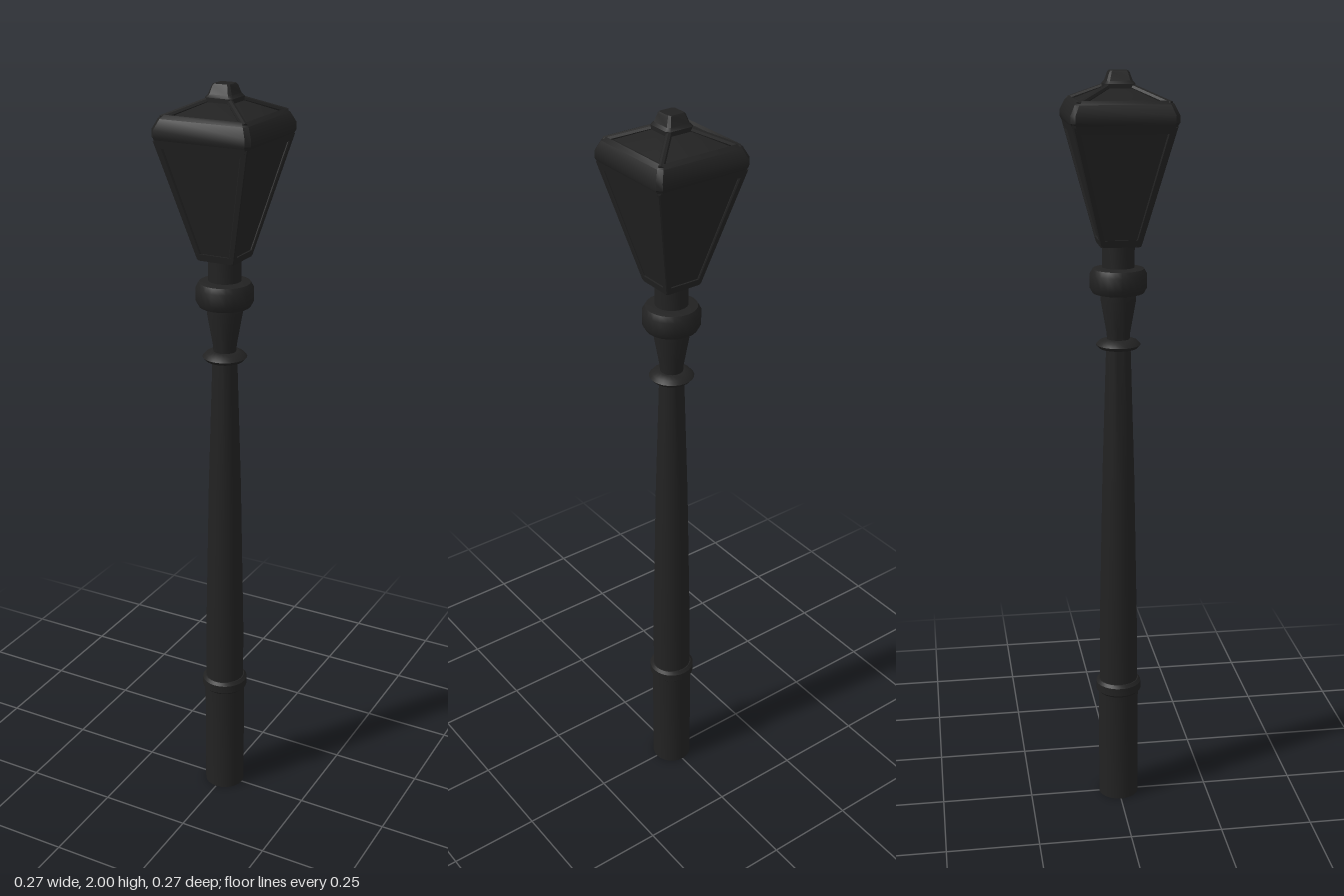
import * as THREE from 'three';
import { toCreasedNormals } from 'three/addons/utils/BufferGeometryUtils.js';

const iron = new THREE.MeshStandardMaterial({ color: 0x222222 });

function add(parent, name, geometry) {
  const mesh = new THREE.Mesh(toCreasedNormals(geometry, 0.6), iron);
  mesh.name = name;
  parent.add(mesh);
  return mesh;
}

// Closed turned part from [radius, y] pairs, bottom to top
function turned(profile) {
  const pts = [[0, profile[0][1]], ...profile, [0, profile.at(-1)[1]]];
  return new THREE.LatheGeometry(pts.map(([r, y]) => new THREE.Vector2(r, y)), 24);
}

// Closed square loft with cut corners; rings are [half width, corner cut, y, centre x, centre z]
function squareLoft(rings) {
  const pos = [], index = [], n = 8;
  for (const [h, c, y, cx = 0, cz = 0] of rings) {
    const k = h - c;
    for (const [x, z] of [[h, -k], [h, k], [k, h], [-k, h], [-h, k], [-h, -k], [-k, -h], [k, -h]]) {
      pos.push(cx + x, y, cz + z);
    }
  }
  for (let r = 0; r < rings.length - 1; r++) {
    for (let i = 0; i < n; i++) {
      const a = r * n + i, b = r * n + (i + 1) % n;
      index.push(a, a + n, b + n, a, b + n, b);
    }
  }
  const top = (rings.length - 1) * n;
  for (let i = 1; i < n - 1; i++) {
    index.push(0, i, i + 1, top, top + i + 1, top + i);
  }
  const g = new THREE.BufferGeometry();
  g.setAttribute('position', new THREE.Float32BufferAttribute(pos, 3));
  g.setIndex(index);
  return g;
}

// Round bar between two points
function bar(parent, name, from, to, radius) {
  const a = new THREE.Vector3(...from), d = new THREE.Vector3(...to).sub(a);
  const mesh = add(parent, name, new THREE.CylinderGeometry(radius, radius, d.length(), 8));
  mesh.position.copy(a).addScaledVector(d, 0.5);
  mesh.quaternion.setFromUnitVectors(new THREE.Vector3(0, 1, 0), d.normalize());
}

export function createModel() {
  const model = new THREE.Group();
  model.name = 'streetLamp';

  // Post, from the ground up
  const post = new THREE.Group();
  post.name = 'post';
  model.add(post);
  add(post, 'base', turned([[0.055, 0], [0.055, 0.33]]));
  add(post, 'baseBand', turned([[0.055, 0.32], [0.062, 0.327], [0.062, 0.349], [0.055, 0.357]]));
  add(post, 'shaft', turned([[0.052, 0.34], [0.052, 0.5], [0.043, 0.95], [0.032, 1.31]]));
  add(post, 'upperRing', turned([[0.034, 1.3], [0.05, 1.304], [0.058, 1.313], [0.05, 1.322], [0.034, 1.328]]));
  add(post, 'capital', turned([[0.029, 1.32], [0.031, 1.345], [0.046, 1.43], [0.046, 1.46]]));
  add(post, 'collar', turned([[0.05, 1.445], [0.066, 1.449], [0.074, 1.463], [0.074, 1.497], [0.066, 1.511], [0.05, 1.515]]));
  add(post, 'neck', turned([[0.042, 1.51], [0.042, 1.58]]));

  // Lantern body: recessed panes in a tapered frame
  const lantern = new THREE.Group();
  lantern.name = 'lantern';
  model.add(lantern);
  add(lantern, 'panes', squareLoft([[0.048, 0.004, 1.578], [0.123, 0.004, 1.875]]));
  add(lantern, 'bottomRail', squareLoft([[0.051, 0.005, 1.572], [0.056, 0.005, 1.59]]));
  add(lantern, 'topRail', squareLoft([[0.124, 0.008, 1.856], [0.131, 0.009, 1.882]]));
  for (const sx of [-1, 1]) for (const sz of [-1, 1]) {
    add(lantern, 'cornerPost', squareLoft([
      [0.008, 0.002, 1.575, sx * 0.044, sz * 0.044],
      [0.01, 0.003, 1.872, sx * 0.118, sz * 0.118],
    ]));
  }

  // Roof: rim, shallow pyramid, hip bars and finial
  const roof = new THREE.Group();
  roof.name = 'roof';
  model.add(roof);
  add(roof, 'rim', squareLoft([
    [0.126, 0.01, 1.87], [0.133, 0.011, 1.882], [0.133, 0.011, 1.9],
    [0.121, 0.01, 1.925], [0.111, 0.008, 1.934], [0.104, 0.006, 1.929],
  ]));
  add(roof, 'roofSlopes', squareLoft([[0.108, 0.004, 1.925], [0.03, 0.004, 1.962]]));
  for (const sx of [-1, 1]) for (const sz of [-1, 1]) {
    bar(roof, 'hipBar', [sx * 0.112, 1.925, sz * 0.112], [sx * 0.028, 1.962, sz * 0.028], 0.008);
  }
  add(roof, 'finial', squareLoft([
    [0.038, 0.008, 1.955], [0.038, 0.008, 1.969], [0.032, 0.007, 1.976], [0.025, 0.005, 1.996], [0.022, 0.005, 2],
  ]));

  return model;
}
